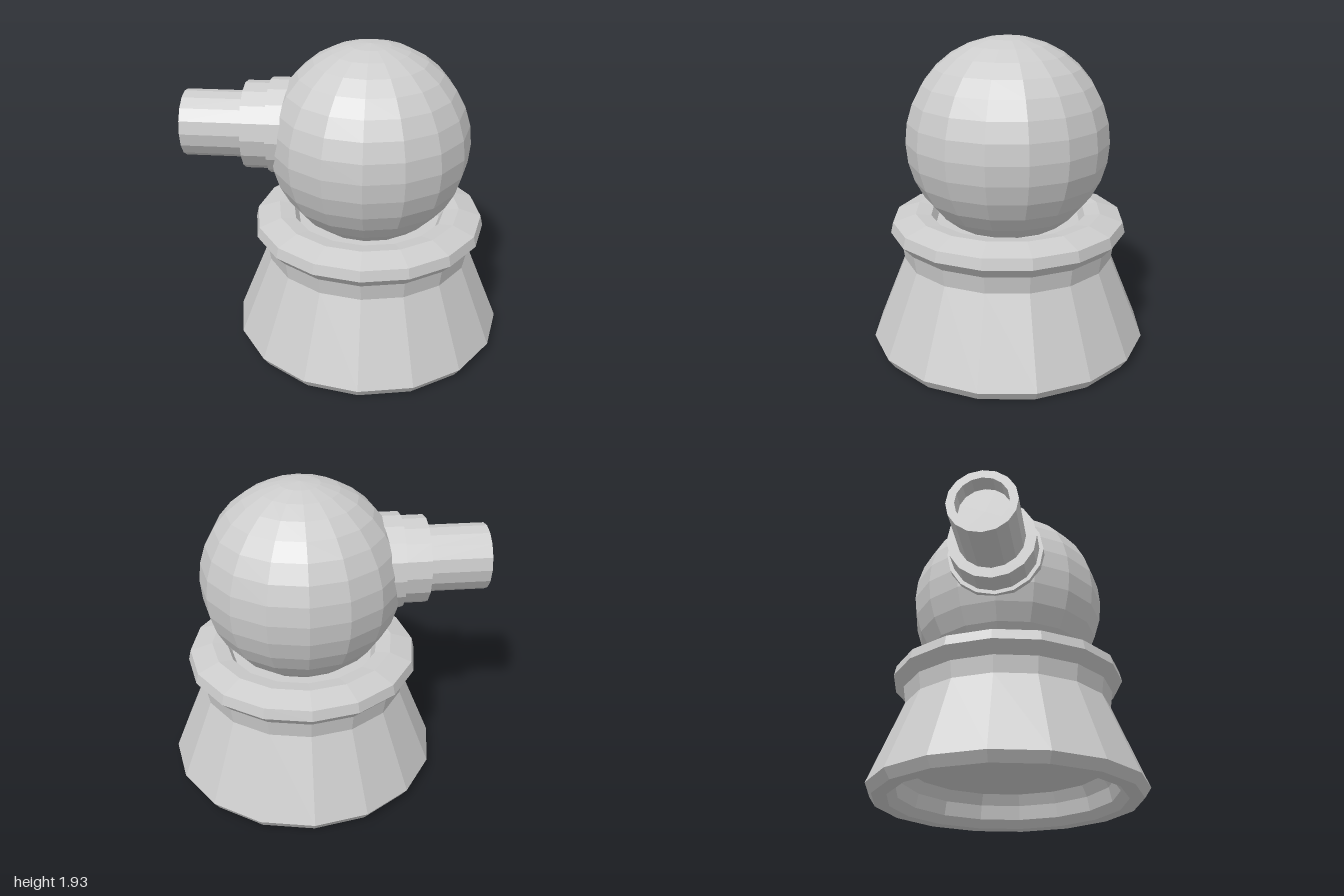
import * as THREE from 'three';

const SIDES = 16;
const CENTRE_X = 0.135;

export function createModel() {
  const group = new THREE.Group();
  const material = new THREE.MeshStandardMaterial({ color: 0xcccccc, flatShading: true });

  const add = (name, geometry, x, y) => {
    const mesh = new THREE.Mesh(geometry, material);
    mesh.name = name;
    mesh.position.set(x, y, 0);
    group.add(mesh);
    return mesh;
  };
  // Profile of [radius, height] pairs, listed up the outside
  const lathe = (profile) =>
    new THREE.LatheGeometry(profile.map(([r, h]) => new THREE.Vector2(r, h)), SIDES);

  // Flared pedestal: recessed underside, sloping wall, neck and rim with a socket
  add('pedestal', lathe([
    [0, 0.21], [0.62, 0.21], [0.66, 0.14], [0.68, 0.05], [0.73, 0],
    [0.82, 0], [0.86, 0.06], [0.65, 0.575], [0.665, 0.68], [0.73, 0.75],
    [0.715, 0.815], [0.575, 0.86], [0.48, 0.845], [0.45, 0.79], [0, 0.79],
  ]), CENTRE_X, 0);

  // Ball resting in the socket
  add('ball', new THREE.SphereGeometry(0.62, SIDES, 16), CENTRE_X, 1.31);

  // Stepped spout pointing to -x, with a hollow mouth
  const spout = add('spout', lathe([
    [0.295, 0.2], [0.295, 0.465], [0.27, 0.465], [0.27, 0.62],
    [0.205, 0.62], [0.205, 1], [0.155, 1], [0.155, 0.89], [0, 0.89],
  ]), 0, 1.395);
  spout.rotation.z = Math.PI / 2;

  return group;
}
